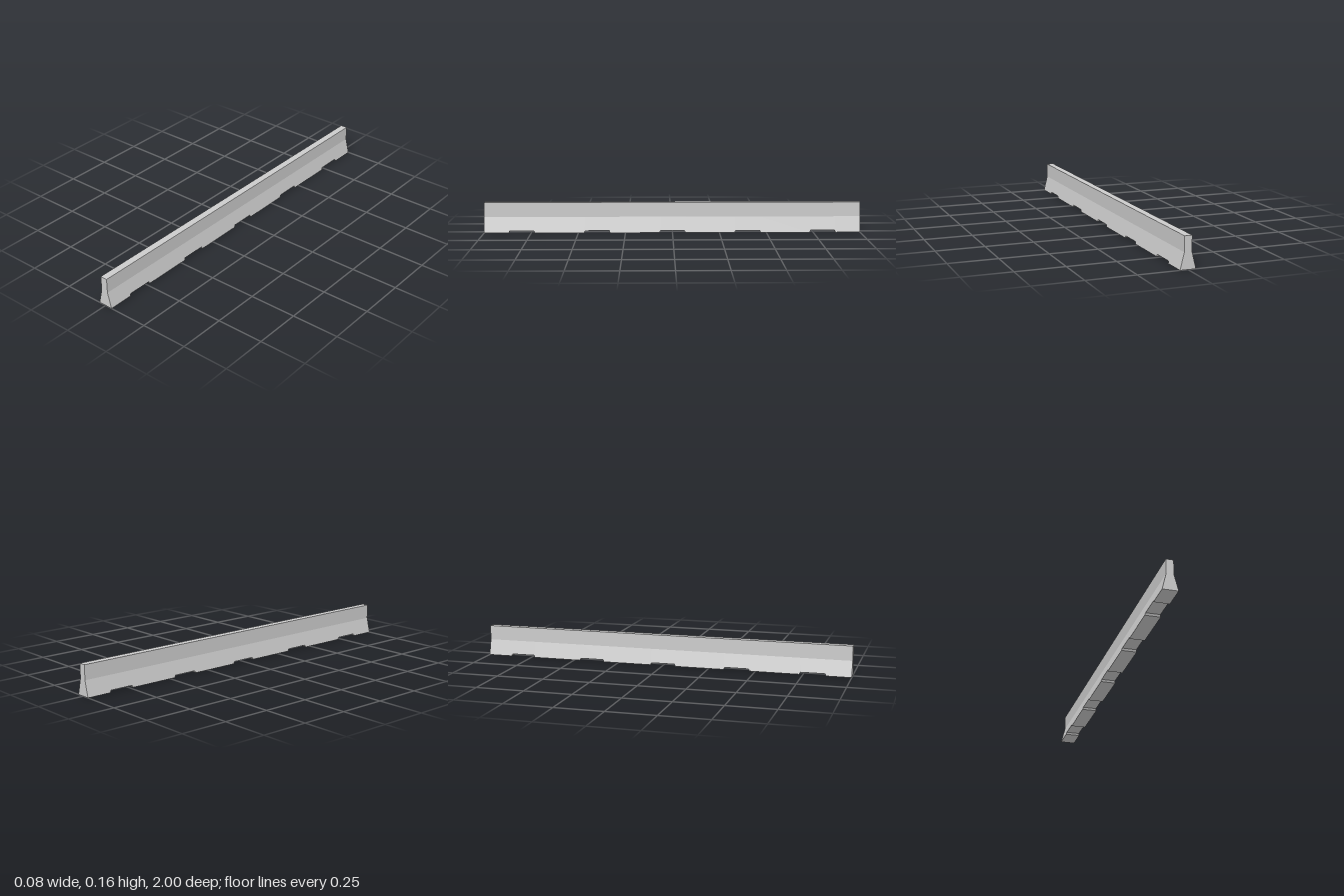
import * as THREE from 'three';

const BASE = 0.04, NECK = 0.019, BREAK_Y = 0.083, TOP_Y = 0.16;
const NOTCH_H = 0.011, NOTCH_HALF = 0.069, SLOPE = 0.005;

// Cross-section at z whose underside sits at height h, counter-clockwise from +z
function section(z, h) {
  const b = THREE.MathUtils.lerp(BASE, NECK, h / BREAK_Y);
  return [[-b, h], [b, h], [NECK, BREAK_Y], [NECK, TOP_Y], [-NECK, TOP_Y], [-NECK, BREAK_Y]]
    .map(([x, y]) => [x, y, z]);
}

export function createModel() {
  // Sections along the length, stepping up over five drainage notches
  const sections = [section(-1, 0)];
  for (let i = -2; i <= 2; i++) {
    const c = i * 0.4, inner = NOTCH_HALF - SLOPE;
    sections.push(section(c - NOTCH_HALF, 0), section(c - inner, NOTCH_H),
      section(c + inner, NOTCH_H), section(c + NOTCH_HALF, 0));
  }
  sections.push(section(1, 0));

  const positions = [];
  const quad = (a, b, c, d) => positions.push(...[a, b, c, a, c, d].flat());

  // Outer skin
  for (let i = 0; i < sections.length - 1; i++) {
    const s = sections[i], t = sections[i + 1];
    for (let j = 0; j < 6; j++) {
      const k = (j + 1) % 6;
      quad(s[j], s[k], t[k], t[j]);
    }
  }
  // End faces: flared foot and upright stem
  const f = sections[sections.length - 1], r = sections[0];
  for (const [a, b, c, d] of [[0, 1, 2, 5], [5, 2, 3, 4]]) {
    quad(f[a], f[b], f[c], f[d]);
    quad(r[d], r[c], r[b], r[a]);
  }

  const geometry = new THREE.BufferGeometry();
  geometry.setAttribute('position', new THREE.Float32BufferAttribute(positions, 3));
  geometry.computeVertexNormals();

  const barrier = new THREE.Mesh(geometry,
    new THREE.MeshStandardMaterial({ color: 0xcccccc, flatShading: true }));
  barrier.name = 'concreteBarrier';

  const group = new THREE.Group();
  group.name = 'roadBarrier';
  group.add(barrier);
  return group;
}
